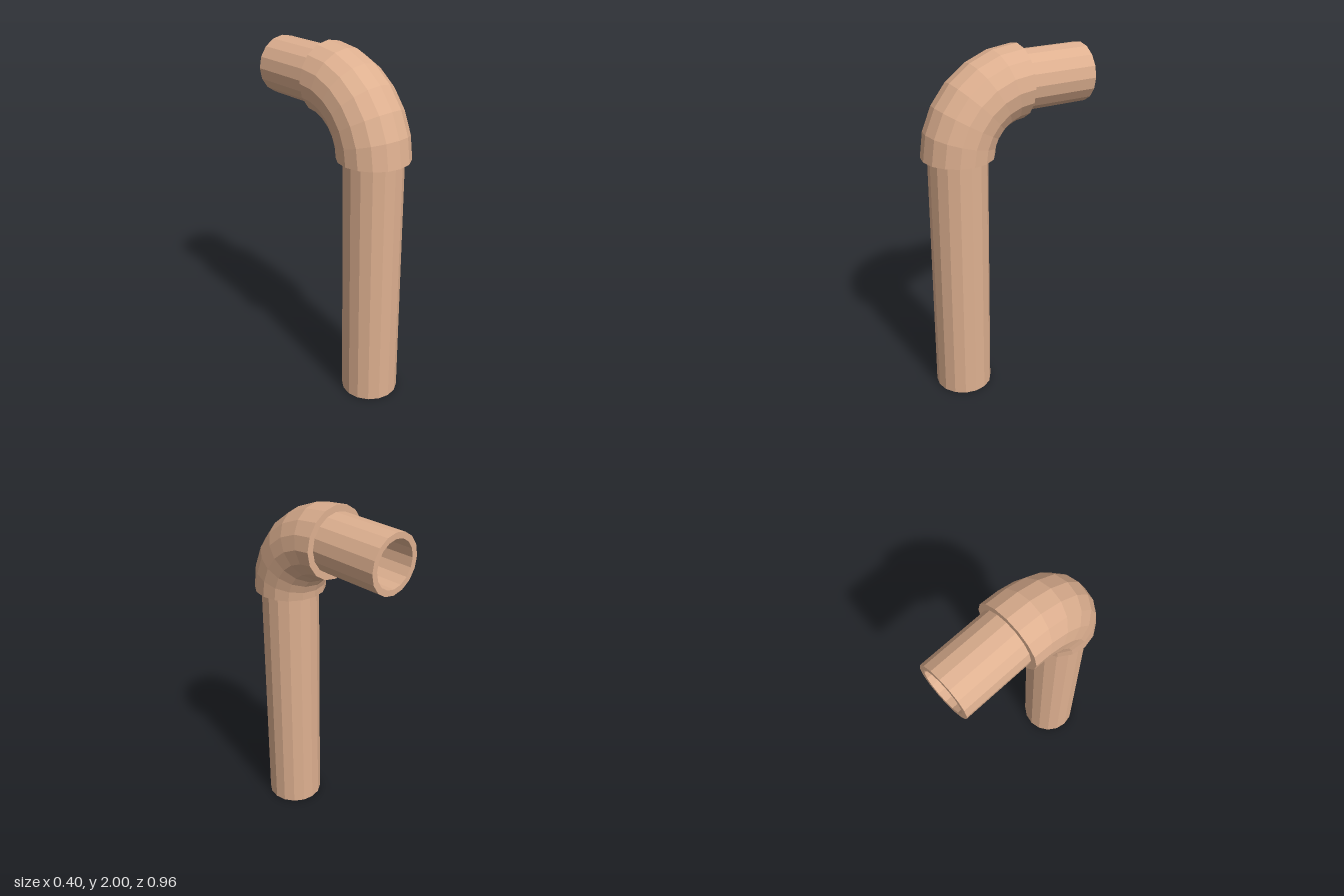
import * as THREE from 'three';

const SIDES = 16;
const PIPE_OUTER = 0.163, PIPE_INNER = 0.13;
const ELBOW_OUTER = 0.2, ELBOW_INNER = 0.163;
const BEND_RADIUS = 0.36, BEND_Y = 1.444, BEND_Z = -0.08;

// Hollow straight tube standing on y = 0, with ring-shaped ends
function hollowTube(outer, inner, length, steps) {
  const profile = [];
  for (let i = 0; i <= steps; i++) profile.push(new THREE.Vector2(outer, (length * i) / steps));
  for (let i = steps; i >= 0; i--) profile.push(new THREE.Vector2(inner, (length * i) / steps));
  profile.push(profile[0].clone());
  return new THREE.LatheGeometry(profile, SIDES);
}

// Bends an upright tube of length PI / 2 through a quarter turn towards -z
function bend(geometry) {
  const pos = geometry.attributes.position;
  for (let i = 0; i < pos.count; i++) {
    const angle = pos.getY(i);
    const r = BEND_RADIUS + pos.getZ(i);
    pos.setY(i, r * Math.sin(angle));
    pos.setZ(i, r * Math.cos(angle));
  }
  geometry.computeVertexNormals();
  return geometry;
}

export function createModel() {
  const group = new THREE.Group();
  group.name = 'pipeWithElbow';
  const material = new THREE.MeshStandardMaterial({ color: 0xdeb090, flatShading: true });

  const add = (name, geometry, y, z) => {
    const mesh = new THREE.Mesh(geometry, material);
    mesh.name = name;
    mesh.position.set(0, y, z);
    group.add(mesh);
    return mesh;
  };

  // Long upright pipe
  add('uprightPipe', hollowTube(PIPE_OUTER, PIPE_INNER, BEND_Y, 1), 0, BEND_Z + BEND_RADIUS);

  // Wider quarter-turn fitting
  add('elbow', bend(hollowTube(ELBOW_OUTER, ELBOW_INNER, Math.PI / 2, 6)), BEND_Y, BEND_Z);

  // Short pipe running to the back
  const outlet = hollowTube(PIPE_OUTER, PIPE_INNER, 0.4, 1).rotateX(-Math.PI / 2);
  add('outletPipe', outlet, BEND_Y + BEND_RADIUS, BEND_Z);

  return group;
}
